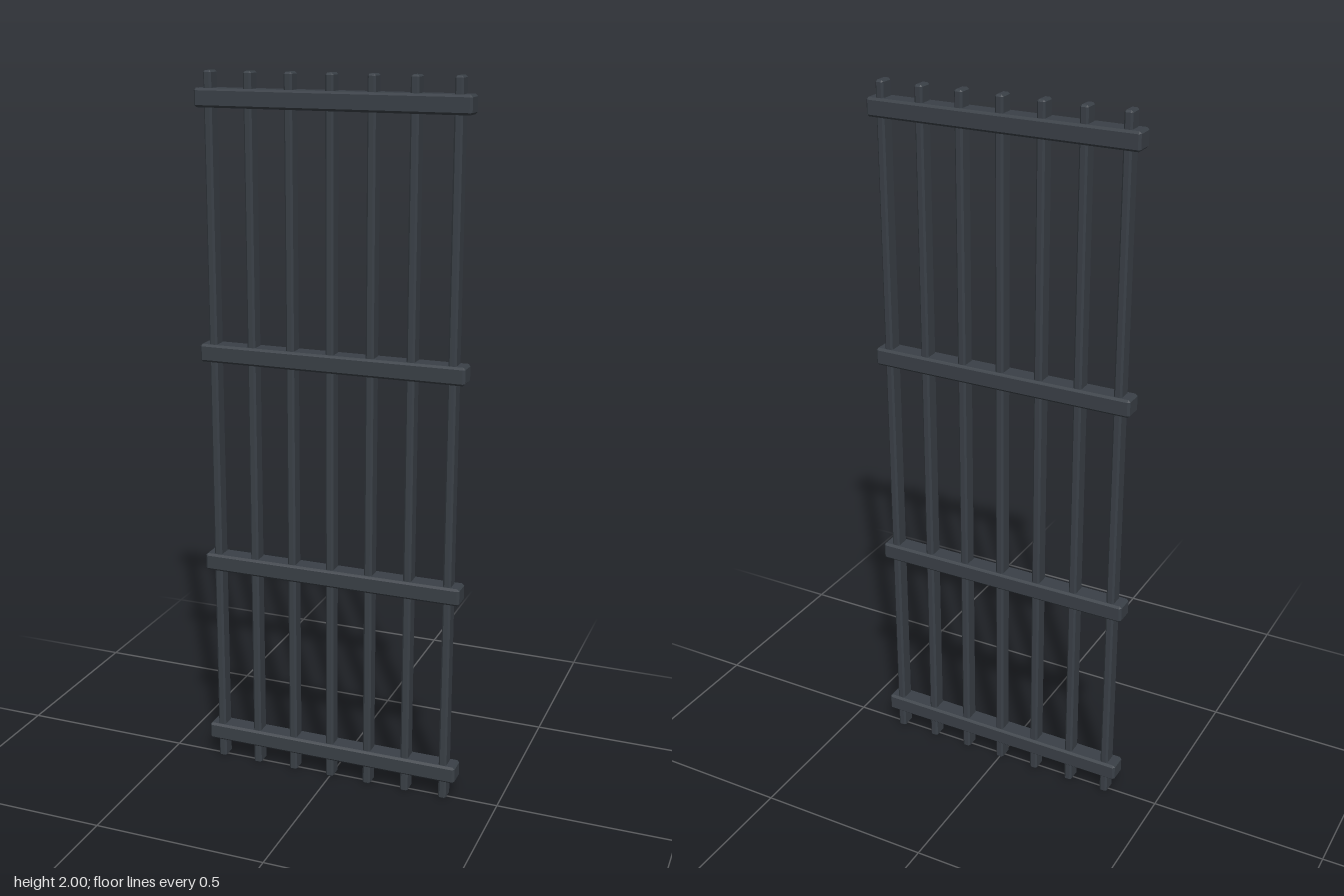
import * as THREE from 'three';
import { ConvexGeometry } from 'three/addons/geometries/ConvexGeometry.js';

// Box with every edge chamfered by b
function chamferedBox(w, h, d, b) {
  const points = [];
  for (const sx of [-1, 1]) for (const sy of [-1, 1]) for (const sz of [-1, 1]) {
    const x = w / 2, y = h / 2, z = d / 2;
    points.push(
      new THREE.Vector3(sx * x, sy * (y - b), sz * (z - b)),
      new THREE.Vector3(sx * (x - b), sy * y, sz * (z - b)),
      new THREE.Vector3(sx * (x - b), sy * (y - b), sz * z)
    );
  }
  return new ConvexGeometry(points);
}

export function createModel() {
  const group = new THREE.Group();
  group.name = 'barredGate';

  const iron = new THREE.MeshStandardMaterial({ color: 0x3a4047 });
  iron.name = 'darkIron';

  // Seven upright bars, evenly spaced
  const barGeometry = chamferedBox(0.023, 2, 0.044, 0.005);
  for (let i = -3; i <= 3; i++) {
    const bar = new THREE.Mesh(barGeometry, iron);
    bar.name = 'uprightBar';
    bar.position.set(i * 0.1143, 1, 0);
    group.add(bar);
  }

  // Four cross rails that the bars pass through
  const railGeometry = chamferedBox(0.76, 0.05, 0.058, 0.006);
  for (const y of [0.082, 0.624, 1.242, 1.93]) {
    const rail = new THREE.Mesh(railGeometry, iron);
    rail.name = 'crossRail';
    rail.position.set(0, y, 0);
    group.add(rail);
  }

  return group;
}
